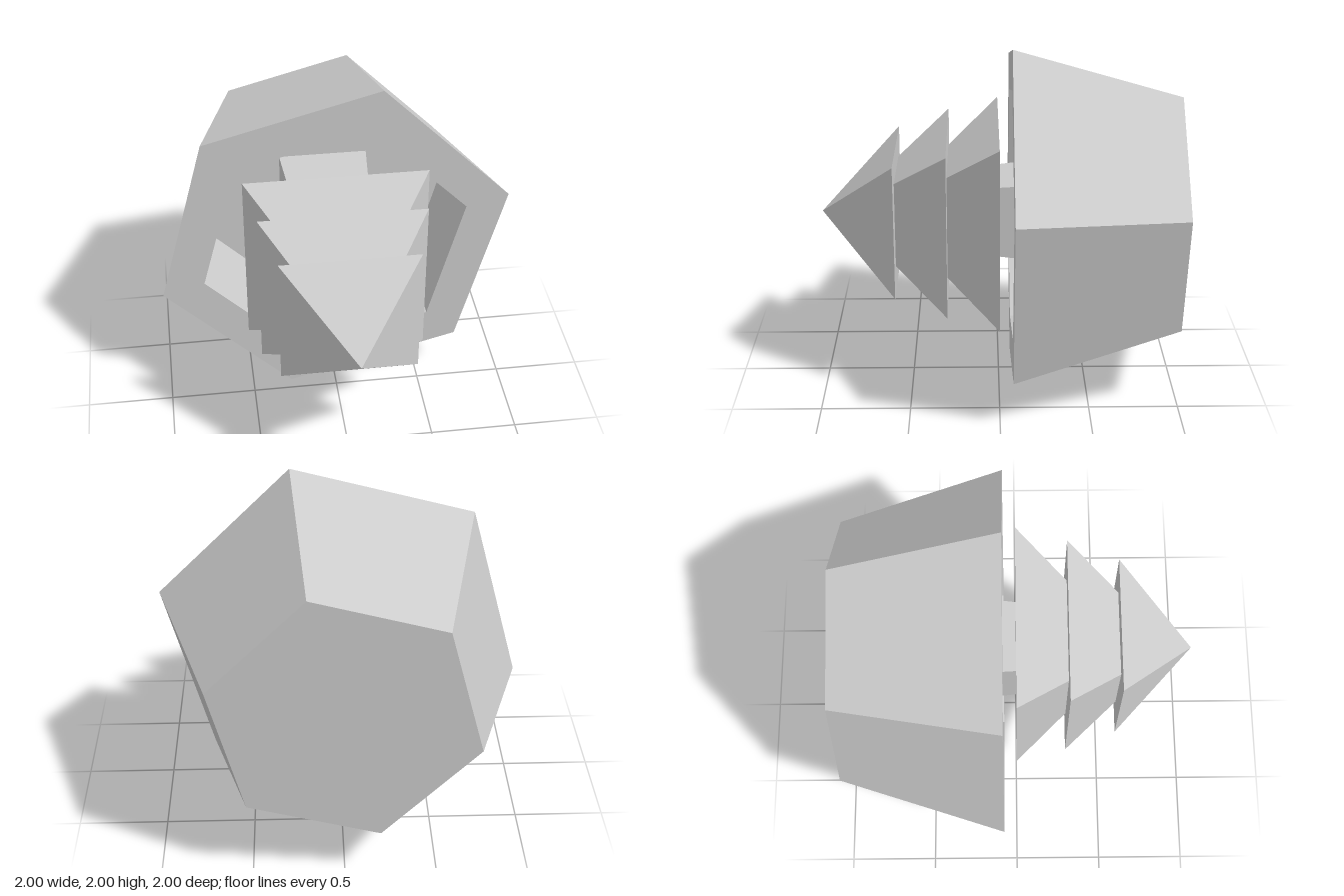
import * as THREE from 'three';

export function createModel() {
  const model = new THREE.Group();
  model.name = 'pottedTree';
  const grey = new THREE.MeshStandardMaterial({ color: 0xcccccc });
  grey.name = 'grey';
  grey.flatShading = true;

  // The tree lies on its side: its growing axis points along +z at height 1
  const add = (name, geometry) => {
    geometry.rotateX(Math.PI / 2);
    const mesh = new THREE.Mesh(geometry.toNonIndexed(), grey);
    mesh.geometry.computeVertexNormals();
    mesh.name = name;
    mesh.position.y = 1;
    model.add(mesh);
  };

  // Square tapered block between two depths, given half widths
  const squareTaper = (z0, half0, z1, half1) =>
    new THREE.CylinderGeometry(half1 * Math.SQRT2, half0 * Math.SQRT2, z1 - z0, 4, 1, false, Math.PI / 4)
      .translate(0, (z0 + z1) / 2, 0);

  // Hollow six-sided pot: base, outer wall, rim, inner wall, floor
  const potProfile = [
    [0, -1], [0.74, -1], [1.036, -0.072], [0.786, -0.072], [0.786, -0.64], [0, -0.64],
  ].map(([r, z]) => new THREE.Vector2(r, z));
  add('pot', new THREE.LatheGeometry(potProfile, 6, Math.PI / 4));

  // Trunk rising from the pot floor
  add('trunk', squareTaper(-0.64, 0.26, 0, 0.205));

  // Three stacked tiers of foliage, the last one pointed
  const tiers = [
    [0, 0.52, 0.287, 0.295],
    [0.287, 0.465, 0.577, 0.243],
    [0.577, 0.383, 1, 0],
  ];
  tiers.forEach((tier, i) => add(`foliageTier${i + 1}`, squareTaper(...tier)));

  return model;
}
